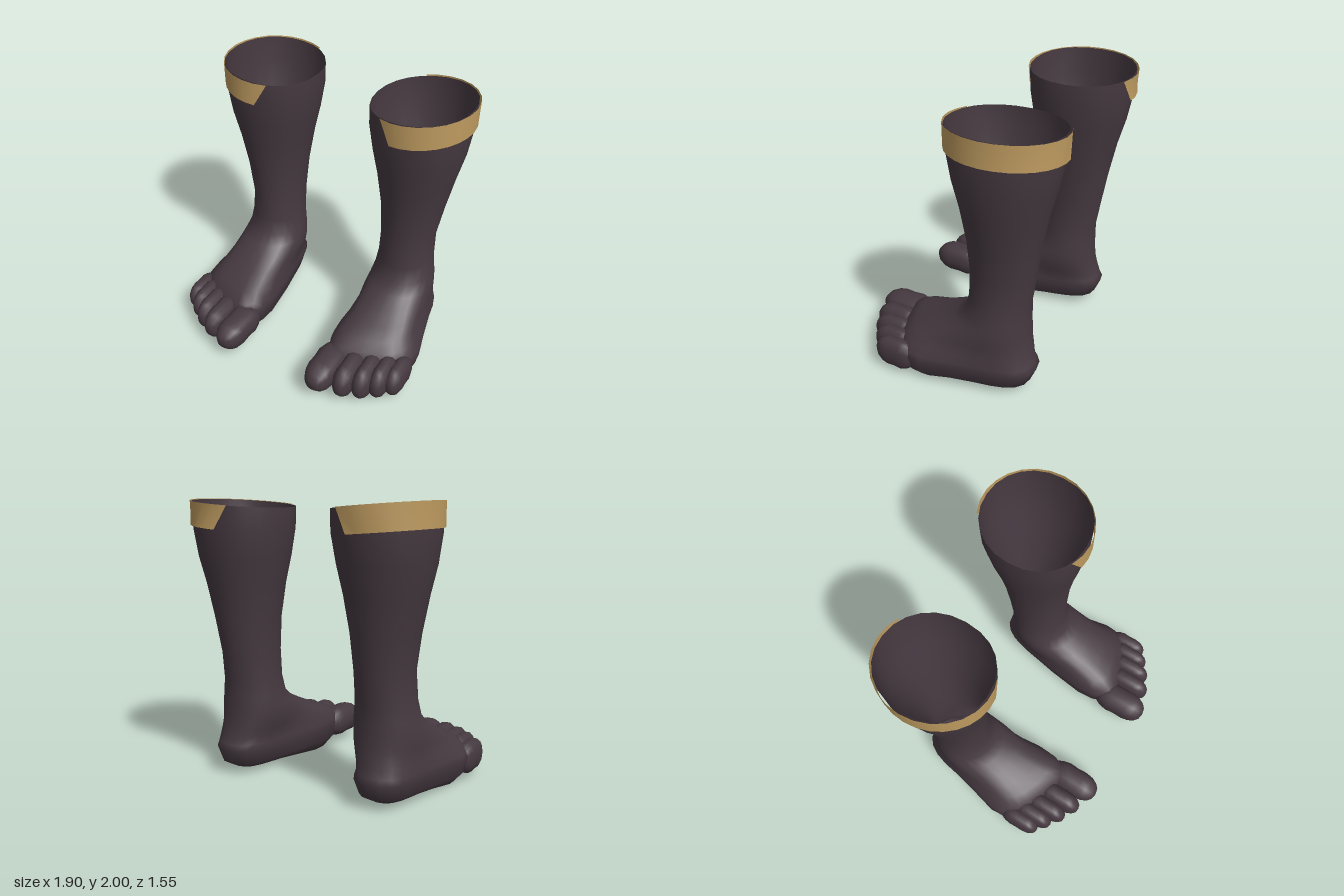
import * as THREE from 'three';
import { mergeVertices } from 'three/addons/utils/BufferGeometryUtils.js';

const SIDES = 24;
const smooth = THREE.MathUtils.smoothstep;
const power = (v, e) => Math.sign(v) * Math.abs(v) ** e;

// Horizontal sections: y, back z, front z, inner/outer x at the heel, inner/outer x at the ball
const SECTIONS = [
  [0.03, -0.50, 0.38, 0.45, 0.76, 0.36, 0.86],
  [0.08, -0.59, 0.43, 0.39, 0.82, 0.30, 0.93],
  [0.19, -0.635, 0.45, 0.365, 0.84, 0.28, 0.955],
  [0.23, -0.61, 0.44, 0.37, 0.84, 0.285, 0.94],
  [0.29, -0.59, 0.41, 0.36, 0.835, 0.30, 0.90],
  [0.34, -0.58, 0.34, 0.345, 0.83, 0.33, 0.86],
  [0.39, -0.57, 0.22, 0.335, 0.83, 0.35, 0.84],
  [0.45, -0.565, 0.10, 0.33, 0.825, 0.35, 0.82],
  [0.51, -0.562, -0.01, 0.34, 0.815, 0.35, 0.81],
  [0.58, -0.56, -0.09, 0.35, 0.80, 0.35, 0.80],
  [0.70, -0.56, -0.12, 0.365, 0.78, 0.365, 0.78],
  [0.90, -0.59, -0.125, 0.37, 0.77, 0.37, 0.77],
  [1.15, -0.625, -0.115, 0.35, 0.81, 0.35, 0.81],
  [1.40, -0.67, -0.08, 0.31, 0.86, 0.31, 0.86],
  [1.60, -0.72, -0.04, 0.27, 0.905, 0.27, 0.905],
  [1.80, -0.755, -0.012, 0.24, 0.93, 0.24, 0.93],
  [1.97, -0.762, -0.005, 0.24, 0.935, 0.24, 0.935],
];

// Toes: x, y, z, then radii in x, y, z
const TOES = [
  [0.395, 0.165, 0.55, 0.12, 0.125, 0.22],
  [0.57, 0.16, 0.52, 0.085, 0.14, 0.19],
  [0.69, 0.155, 0.47, 0.078, 0.145, 0.18],
  [0.79, 0.155, 0.41, 0.075, 0.14, 0.17],
  [0.88, 0.155, 0.35, 0.073, 0.125, 0.16],
];

function fromGrid(positions, index) {
  const geo = new THREE.BufferGeometry();
  geo.setAttribute('position', new THREE.Float32BufferAttribute(positions, 3));
  geo.setIndex(index);
  geo.computeVertexNormals();
  return geo;
}

// Rim of the leg is higher on the outer side
const rimTilt = (x) => (x - 0.585) * 0.077;

function legGeometry() {
  const pos = [], index = [];
  SECTIONS.forEach(([y, back, front, in0, out0, in1, out1], row) => {
    const long = THREE.MathUtils.clamp((front + 0.1) / 0.5, 0, 1);
    for (let i = 0; i < SIDES; i++) {
      const t = (i / SIDES) * Math.PI * 2;
      // longer sections get a blunter front
      const e = 1 - long * (Math.cos(t) > 0 ? 0.45 : 0.2);
      const u = power(Math.sin(t), e);
      let z = (back + front) / 2 + ((front - back) / 2) * power(Math.cos(t), e);
      const w = smooth(z, -0.35, 0.3);
      const inner = in0 + (in1 - in0) * w, outer = out0 + (out1 - out0) * w;
      const x = (inner + outer) / 2 + ((outer - inner) / 2) * u;
      z -= 0.25 * Math.max(0, z) * u;
      let py = y;
      if (row === 0) py -= 0.03 * smooth(z, -0.2, 0.2);
      if (row === SECTIONS.length - 1) py += rimTilt(x);
      pos.push(x, py, z);
    }
  });
  for (let r = 0; r < SECTIONS.length - 1; r++) {
    for (let i = 0; i < SIDES; i++) {
      const a = r * SIDES + i, b = r * SIDES + (i + 1) % SIDES;
      index.push(a, b, b + SIDES, a, b + SIDES, a + SIDES);
    }
  }
  // sole
  const centre = pos.length / 3;
  pos.push(0.61, 0.02, -0.05);
  for (let i = 0; i < SIDES; i++) index.push(centre, (i + 1) % SIDES, i);
  return fromGrid(pos, index);
}

// Rounded box-like toe with a slight waist behind the tip
function toeGeometry([x, y, z, rx, ry, rz]) {
  let geo = new THREE.SphereGeometry(1, 14, 10).rotateX(Math.PI / 2);
  geo.deleteAttribute('uv');
  geo.deleteAttribute('normal');
  geo = mergeVertices(geo, 1e-4);
  const p = geo.attributes.position;
  for (let i = 0; i < p.count; i++) {
    const d = p.getZ(i);
    const waist = 1 - 0.1 * Math.exp(-(((d - 0.05) / 0.25) ** 2));
    p.setXYZ(i,
      x + rx * waist * power(p.getX(i), 0.8),
      y + ry * waist * power(p.getY(i), 0.85),
      z + rz * power(d, 0.9));
  }
  geo.computeVertexNormals();
  return geo;
}

// Partial cuff around the outer side, with slanted ends
function bandGeometry() {
  const pos = [], index = [], n = 16;
  for (let i = 0; i <= n; i++) {
    const s = (i / n) * 2 - 1;
    [[100, -0.165], [115, 0.003]].forEach(([span, dy]) => {
      // runs from the front, around the outer side, to the back
      const t = Math.PI / 2 + THREE.MathUtils.degToRad(span) * s;
      const x = 0.5875 + 0.3625 * Math.sin(t);
      pos.push(x, 1.97 + rimTilt(x) + dy, -0.384 + 0.396 * Math.cos(t));
    });
    if (i < n) {
      const a = i * 2;
      index.push(a, a + 2, a + 3, a, a + 3, a + 1);
    }
  }
  return fromGrid(pos, index);
}

// Flip to the other side of x = 0 and restore the corner order
function mirrored(geo) {
  const m = geo.clone().scale(-1, 1, 1);
  const idx = m.index.array;
  for (let i = 0; i < idx.length; i += 3) [idx[i], idx[i + 1]] = [idx[i + 1], idx[i]];
  m.computeVertexNormals();
  return m;
}

export function createModel() {
  const skin = new THREE.MeshStandardMaterial({ color: 0x453940, side: THREE.DoubleSide });
  skin.name = 'dark skin';
  const gold = new THREE.MeshStandardMaterial({ color: 0xbd9a5f, side: THREE.DoubleSide });
  gold.name = 'gold';

  const parts = [
    ['leg', legGeometry(), skin],
    ['cuffBand', bandGeometry(), gold],
    ...TOES.map((toe, i) => ['toe' + (i + 1), toeGeometry(toe), skin]),
  ];

  const model = new THREE.Group();
  model.name = 'pairOfLegs';
  for (const side of ['left', 'right']) {
    const group = new THREE.Group();
    group.name = side + 'Leg';
    for (const [name, geo, material] of parts) {
      const mesh = new THREE.Mesh(side === 'left' ? geo : mirrored(geo), material);
      mesh.name = name;
      group.add(mesh);
    }
    model.add(group);
  }
  return model;
}
